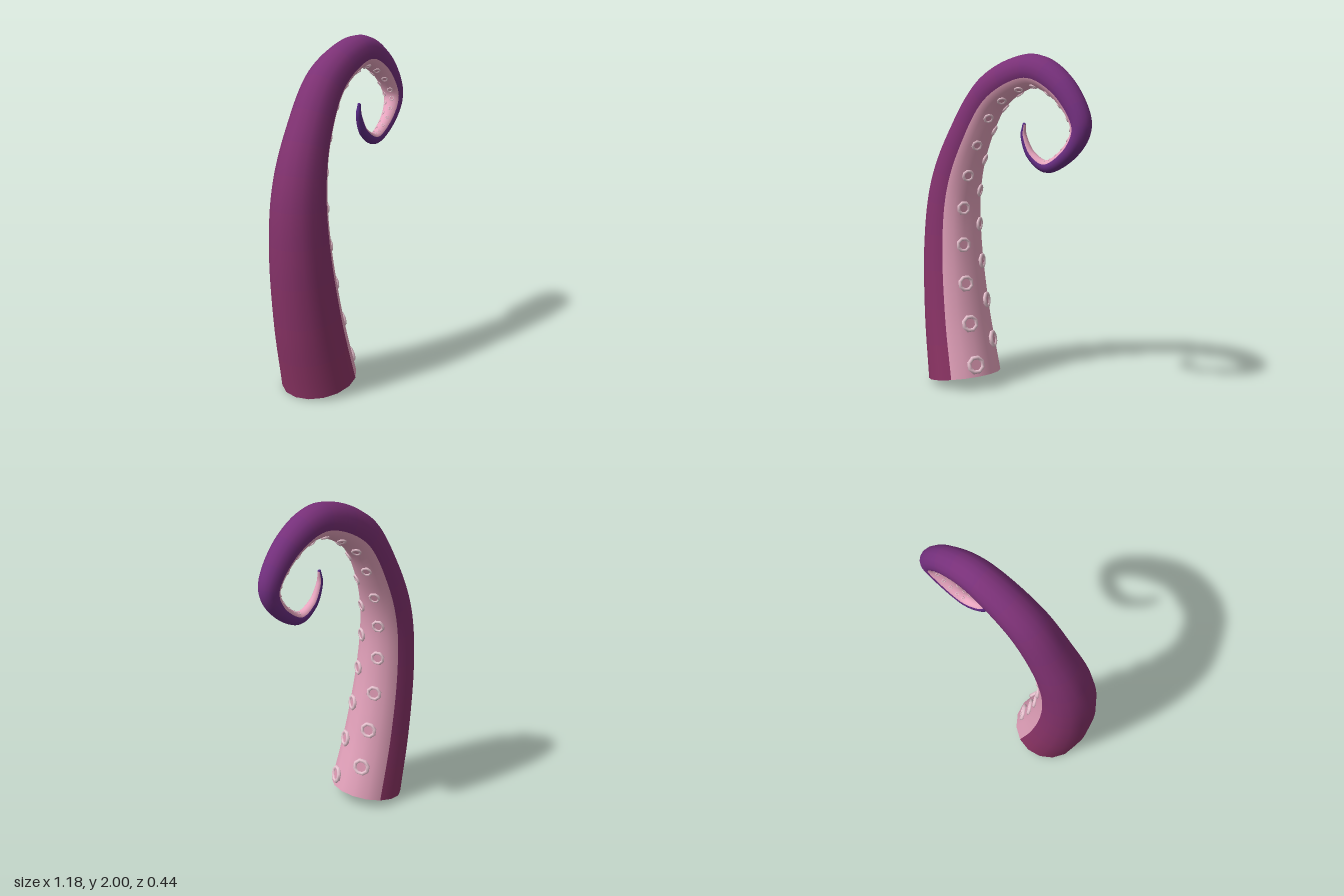
import * as THREE from 'three';

const SIDES = 16;   // facets around the arm
const BELLY = 3;    // facets of belly on each side of its middle line
const BANDS = 24;   // colour bands along the arm
const STEPS = 5;    // rings per band

// centre line and thickness: x, y, z, radius
const STATIONS = [
  [-0.295, 0.045, 0, 0.222], [-0.37, 0.43, -0.015, 0.2], [-0.415, 0.85, -0.03, 0.177],
  [-0.4, 1.2, -0.043, 0.155], [-0.3, 1.5, -0.058, 0.13], [-0.12, 1.775, -0.07, 0.114],
  [0.165, 1.904, -0.073, 0.097], [0.385, 1.82, -0.071, 0.08], [0.524, 1.63, -0.067, 0.063],
  [0.475, 1.482, -0.058, 0.048], [0.32, 1.375, -0.048, 0.037], [0.2, 1.425, -0.043, 0.028],
  [0.143, 1.53, -0.04, 0.019], [0.144, 1.603, -0.04, 0.01],
];
const path = new THREE.CatmullRomCurve3(
  STATIONS.map(([x, y, z]) => new THREE.Vector3(x, y, z)), false, 'catmullrom', 0.5);
const girth = new THREE.CatmullRomCurve3(
  STATIONS.map((s) => new THREE.Vector3(s[3], 0, 0)), false, 'catmullrom', 0.5);

// local frame: N points to the inside of the curl, B sideways, T along the arm
function frameAt(t) {
  const T = path.getTangent(t);
  const N = new THREE.Vector3(T.y, -T.x, 0).normalize();
  const B = new THREE.Vector3().crossVectors(N, T);
  return { P: path.getPoint(t), r: girth.getPoint(t).x, T, N, B };
}

function outward(f, angle) {
  return f.N.clone().multiplyScalar(Math.cos(angle)).addScaledVector(f.B, Math.sin(angle));
}

// strip of skin between two path parameters and two facet numbers
function skinStrip(t0, t1, from, to) {
  const pos = [], nor = [], index = [], row = to - from + 1;
  for (let i = 0; i <= STEPS; i++) {
    const f = frameAt(t0 + (t1 - t0) * i / STEPS);
    for (let j = from; j <= to; j++) {
      const d = outward(f, j * 2 * Math.PI / SIDES);
      nor.push(d.x, d.y, d.z);
      const p = f.P.clone().addScaledVector(d, f.r);
      pos.push(p.x, p.y, p.z);
      if (i < STEPS && j < to) {
        const a = i * row + j - from, b = a + row;
        index.push(a, b, a + 1, b, b + 1, a + 1);
      }
    }
  }
  const g = new THREE.BufferGeometry();
  g.setAttribute('position', new THREE.Float32BufferAttribute(pos, 3));
  g.setAttribute('normal', new THREE.Float32BufferAttribute(nor, 3));
  g.setIndex(index);
  return g;
}

export function createModel() {
  const model = new THREE.Group();
  model.name = 'tentacle';
  const paint = (color) => new THREE.MeshStandardMaterial({ color });
  const add = (parent, name, geometry, material) => {
    const mesh = new THREE.Mesh(geometry, material);
    mesh.name = name;
    parent.add(mesh);
    return mesh;
  };
  const baseColor = new THREE.Color(0x8f3565), tipColor = new THREE.Color(0x562a8a);
  const pink = paint(0xe8a5bf), ringPaint = paint(0xebc6d3), cupPaint = paint(0xdf9ab4);

  // back skin, fading from base to tip, and pink belly
  const back = new THREE.Group();
  back.name = 'backSkin';
  const belly = new THREE.Group();
  belly.name = 'belly';
  model.add(back, belly);
  for (let k = 0; k < BANDS; k++) {
    const t0 = k / BANDS, t1 = (k + 1) / BANDS;
    const shade = paint(baseColor.clone().lerp(tipColor, (k + 0.5) / BANDS));
    add(back, 'backBand', skinStrip(t0, t1, BELLY, SIDES - BELLY), shade);
    add(belly, 'bellyBand', skinStrip(t0, t1, -BELLY, BELLY), pink);
  }

  // flat cut at the base
  const f0 = frameAt(0);
  const cap = add(model, 'baseCap', new THREE.CircleGeometry(f0.r, SIDES), paint(baseColor));
  cap.quaternion.setFromRotationMatrix(
    new THREE.Matrix4().makeBasis(f0.N, f0.B, f0.T.clone().negate()));
  cap.position.copy(f0.P);

  // rounded tip
  const f1 = frameAt(1);
  add(model, 'tip', new THREE.SphereGeometry(f1.r, 12, 8), paint(tipColor)).position.copy(f1.P);

  // two alternating rows of suckers, closer and smaller toward the tip
  const suckers = new THREE.Group();
  suckers.name = 'suckers';
  model.add(suckers);
  const length = path.getLength();
  let side = 1;
  for (let s = 0.07; s < length - 0.3; s += 0.128 - 0.012 * s * s) {
    const f = frameAt(path.getUtoTmapping(s / length));
    const d = outward(f, side * 0.44);
    const sucker = new THREE.Group();
    sucker.name = 'sucker';
    const ring = add(sucker, 'suckerRing', new THREE.TorusGeometry(0.205, 0.062, 6, 8), ringPaint);
    const cup = add(sucker, 'suckerCup', new THREE.CircleGeometry(0.2, 8), cupPaint);
    ring.rotation.z = cup.rotation.z = Math.PI / 8;
    cup.position.z = 0.015;
    sucker.scale.setScalar(f.r);
    sucker.position.copy(f.P).addScaledVector(d, f.r);
    sucker.quaternion.setFromRotationMatrix(
      new THREE.Matrix4().makeBasis(f.T, new THREE.Vector3().crossVectors(d, f.T), d));
    suckers.add(sucker);
    side = -side;
  }
  return model;
}
